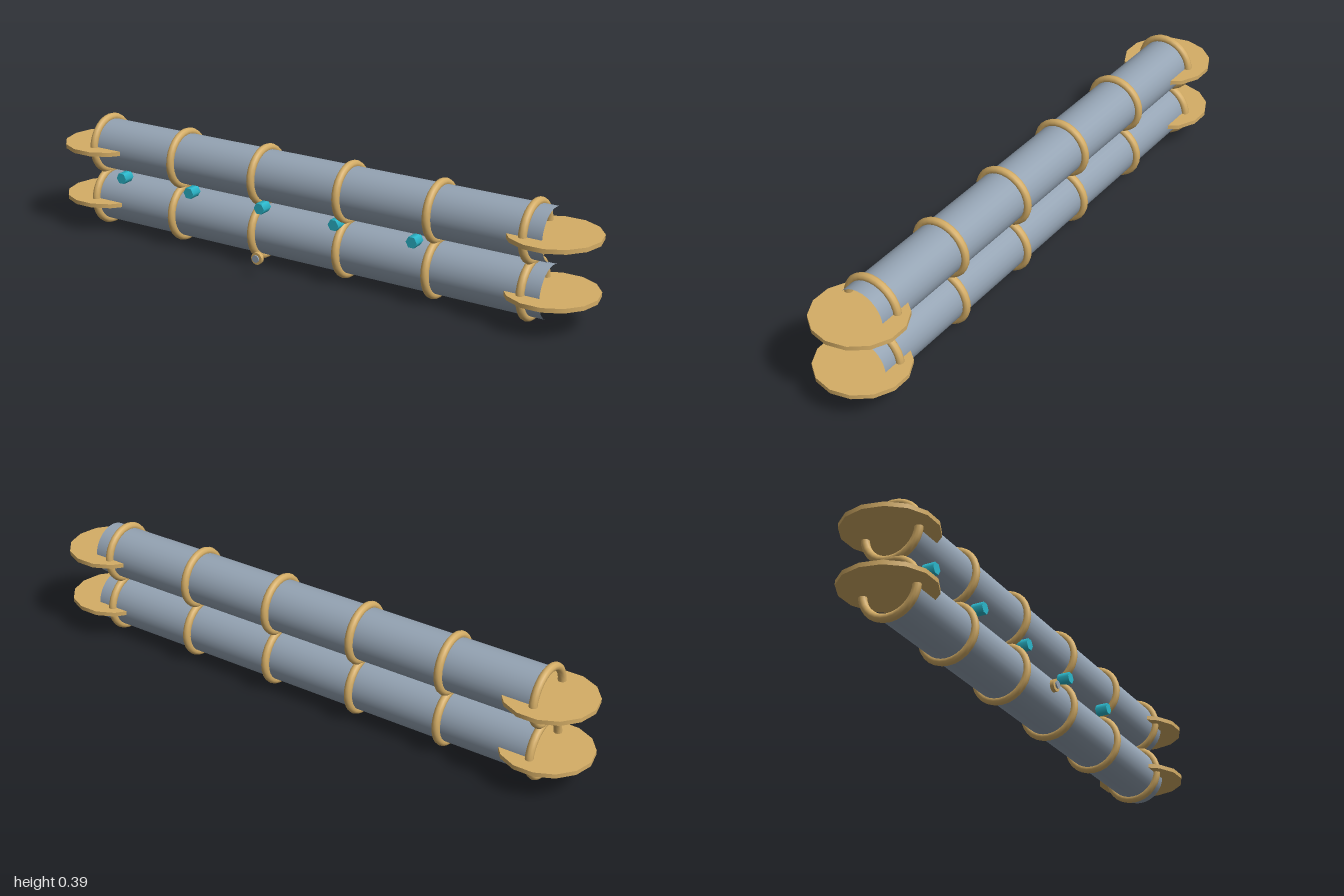
import * as THREE from 'three';

export function createModel() {
  const model = new THREE.Group();
  model.name = 'twinTubes';

  const mat = (name, color) => {
    const m = new THREE.MeshStandardMaterial({ color });
    m.name = name;
    return m;
  };
  const steel = mat('blue grey', 0x94a3b3);
  const gold = mat('gold', 0xd4ad66);
  const cyan = mat('cyan', 0x2bb8cc);

  const add = (name, geometry, material, x, y, z) => {
    const mesh = new THREE.Mesh(geometry, material);
    mesh.name = name;
    mesh.position.set(x, y, z);
    model.add(mesh);
    return mesh;
  };

  const axisZ = -0.0095;

  // Open tube shell, gold bands and end plates, shared by both tubes
  const shell = new THREE.CylinderGeometry(0.0865, 0.0865, 1.7, 32, 1, true).rotateZ(Math.PI / 2);
  const band = new THREE.TorusGeometry(0.0915, 0.0135, 10, 28).rotateY(Math.PI / 2);
  const plate = new THREE.CylinderGeometry(0.15, 0.15, 0.0145, 14, 1, false, Math.PI / 2);

  [['lower', 0.106], ['upper', 0.291]].forEach(([level, y]) => {
    add(level + 'Tube', shell, steel, 0, y, axisZ);
    for (let i = 0; i < 6; i++) {
      add(level + 'Band', band, gold, -0.84 + i * 0.3256, y, axisZ);
    }
    for (const side of [-1, 1]) {
      add(level + 'EndPlate', plate, gold, side * 0.85, y, axisZ);
    }
  });

  // Hexagonal studs in the groove between the tubes
  const stud = new THREE.CylinderGeometry(0.02, 0.02, 0.042, 6, 1, false, Math.PI / 2).rotateX(Math.PI / 2);
  for (let i = 0; i < 5; i++) {
    add('stud', stud, cyan, -0.73 + i * 0.285, 0.202, 0.056);
  }

  // Small round button standing off the front of the lower tube
  const disc = (r, depth) => new THREE.CylinderGeometry(r, r, depth, 20).rotateX(Math.PI / 2);
  add('buttonBase', disc(0.0205, 0.013), gold, -0.121, 0.0605, 0.1435);
  add('buttonFace', disc(0.0125, 0.005), steel, -0.121, 0.0615, 0.1545);

  return model;
}
